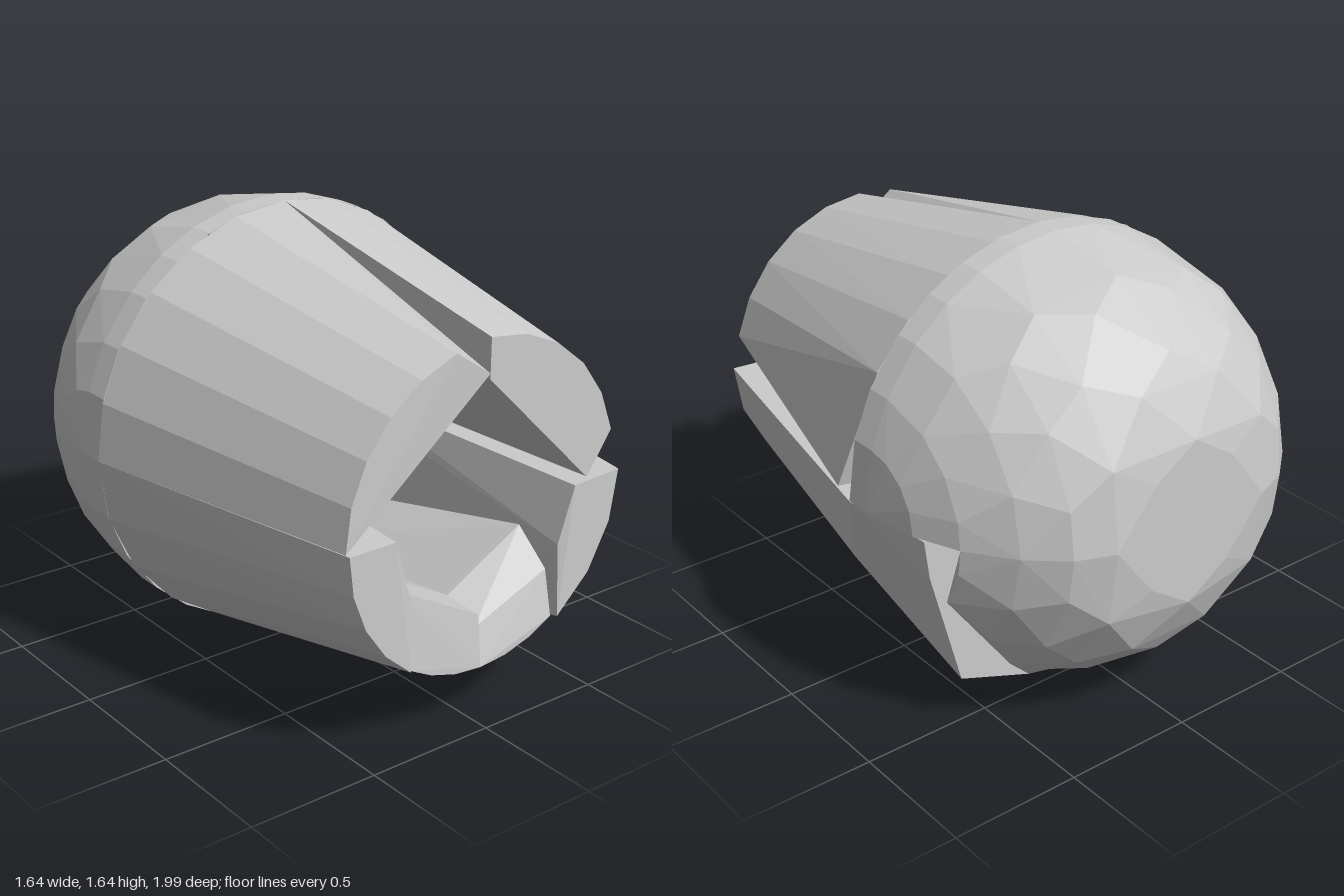
import * as THREE from 'three';
import { ConvexGeometry } from 'three/addons/geometries/ConvexGeometry.js';

const CY = 0.825, ZB = -0.17, ZC = -0.27, R = 0.822, RF = 0.6, CUT = 0.33;
const v = (x, y, z) => new THREE.Vector3(x, y, z);

// points of a ring facing the front, angles in degrees
function arc(a0, a1, n, r, z) {
  const pts = [];
  for (let i = 0; i <= n; i++) {
    const a = THREE.MathUtils.degToRad(a0 + (a1 - a0) * i / n);
    pts.push(v(r * Math.cos(a), CY + r * Math.sin(a), z));
  }
  return pts;
}

// quarter of the dome over a list of x stations: up = 1 above, -1 below the middle
function domePatch(xs, up) {
  const pts = [];
  xs.forEach((x, k) => {
    const r = Math.sqrt(R * R - x * x);
    pts.push(v(x, CY + up * r, ZB));
    for (let i = 0; i <= 4; i++) {
      // staggered stations give triangular facets
      const shift = k % 2 && i > 0 && i < 4 ? 0.35 : 0;
      const a = (i + shift) * Math.PI / 8;
      // the back is slightly flattened
      pts.push(v(x, CY + up * r * Math.cos(a), Math.max(-1, ZC - r * Math.sin(a))));
    }
  });
  return pts;
}

export function createModel() {
  const group = new THREE.Group();
  const material = new THREE.MeshStandardMaterial({ color: 0xcccccc, flatShading: true });
  const add = (name, pts) => {
    const mesh = new THREE.Mesh(new ConvexGeometry(pts), material);
    mesh.name = name;
    group.add(mesh);
  };

  // upper tapered walls, each a convex wedge with a flat inner face
  add('upperRightWall', [
    ...arc(105, 180, 5, RF, 0.965), v(0, 1.3, 0.955),
    ...arc(90, 180, 6, R, ZB), v(-0.37, 0.83, 0.7), v(-0.37, 0.83, ZB), v(0, 1.22, ZB),
  ]);
  add('upperLeftWall', [
    ...arc(14, 90, 5, RF, 0.955), v(0.475, 0.815, 0.955), v(0, 1.28, 0.955),
    ...arc(33, 90, 4, R, ZB), v(0.79, 0.82, -0.05),
    v(0.4, 0.83, ZB), v(0, 1.21, ZB),
  ]);

  // lower side walls; the left one ends in a square corner
  add('lowerRightWall', [
    ...arc(180, 236, 4, RF, 0.985), v(-0.41, 0.825, 0.985), v(-0.335, 0.6, 0.97),
    ...arc(180, 246, 4, R, ZB), v(-0.32, 0.825, ZB), v(-0.33, 0.6, ZB),
  ]);
  add('lowerLeftWall', [
    ...arc(-56, 0, 3, RF, 0.985), v(0.39, 0.815, 0.985), v(0.335, 0.6, 0.97),
    v(0.82, 0.82, ZB), v(0.75, 0.53, -0.08), v(0.63, 0.21, -0.54),
    v(0.755, 0.67, -0.54), v(0.775, 0.82, -0.54), v(CUT, 0.82, -0.54),
    v(CUT, 0.08, ZB), v(CUT, 0.1, -0.54), v(0.34, 0.82, ZB), v(CUT, 0.6, ZB),
  ]);

  // floor halves: a raised lip at the front, falling towards the back
  const floor = (s) => [
    ...arc(270, 270 + s * 33, 3, RF, 0.96), ...arc(270, 270 + s * 24, 2, R, ZB),
    v(s * CUT, 0.61, 0.78), v(0, 0.43, 0.78), v(s * CUT, 0.4, ZB), v(0, 0.3, ZB),
  ];
  add('rightFloor', [...floor(-1), v(-CUT, 0.6, 0.94), v(0, 0.42, 0.94)]);
  add('leftFloor', [...floor(1), v(CUT, 0.49, 0.92), v(0, 0.36, 0.92)]);

  // rounded back: solid sides
  const leftX = [CUT, 0.47, 0.6, 0.72, 0.79, R];
  const rightX = leftX.map((x) => -x);
  add('upperRightDome', domePatch(rightX, 1));
  add('lowerRightDome', domePatch(rightX, -1));
  add('upperLeftDome', domePatch(leftX, 1));
  add('lowerLeftDome', [
    ...domePatch(leftX, -1).filter((p) => p.z < -0.5),
    v(CUT, 0.82, -0.5), v(CUT, 0.1, -0.54),
  ]);

  // rounded back: middle, with sloping faces that close the hollow
  const midX = [-CUT, -0.17, 0, 0.17, CUT];
  const inner = [v(-CUT, CY, -0.58), v(CUT, CY, -0.58)];
  add('upperMiddleDome', [
    ...domePatch(midX, 1), ...inner, v(0, 1.21, ZB),
  ]);
  add('lowerMiddleDome', [
    ...domePatch(midX, -1), ...inner, v(-CUT, 0.48, ZB), v(CUT, 0.48, ZB),
  ]);

  return group;
}
